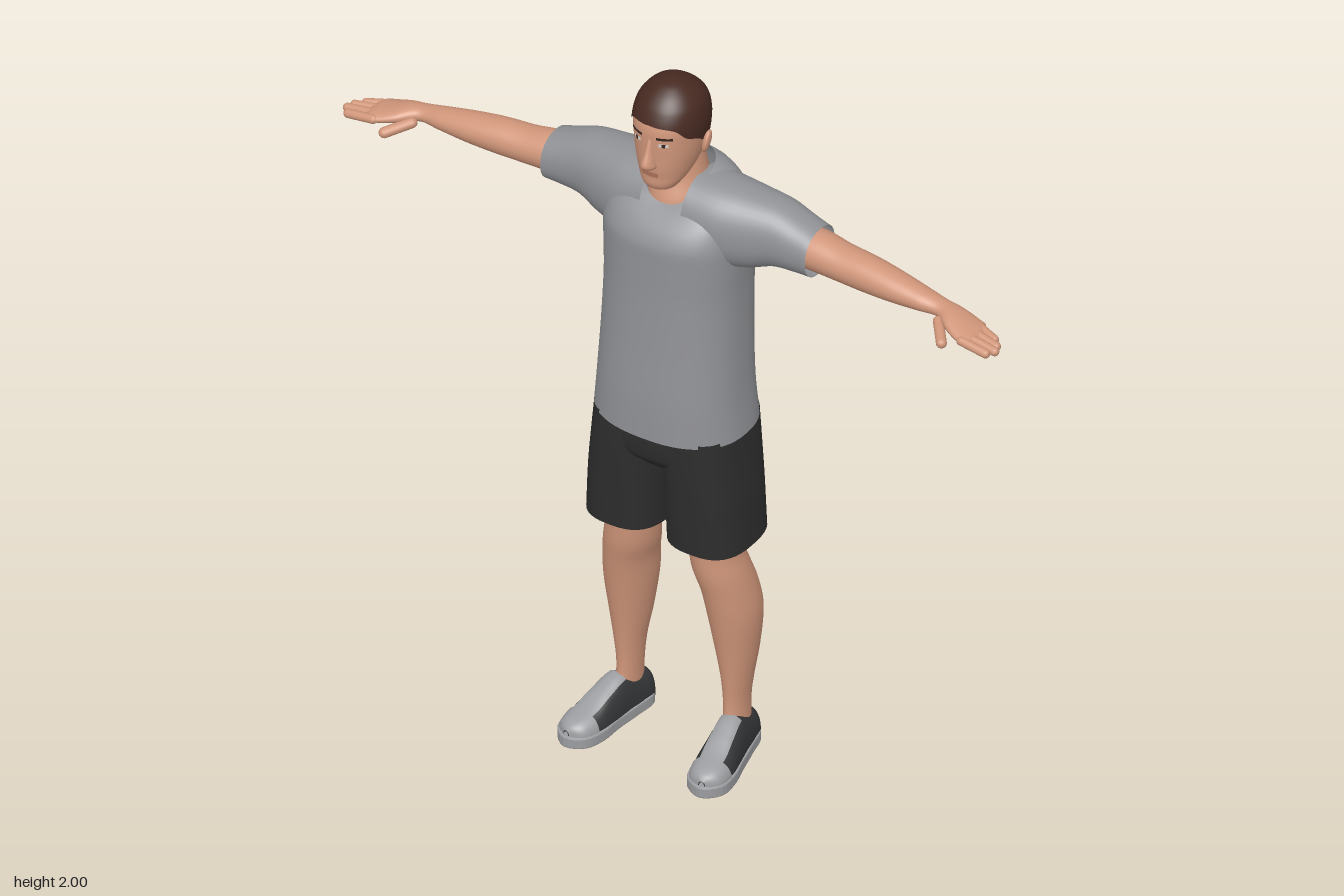
import * as THREE from 'three';

const mat = (name, color, side = THREE.FrontSide) => {
  const m = new THREE.MeshStandardMaterial({ color, side });
  m.name = name;
  return m;
};

// Smooth interpolation of table rows, keyed by their first column
function track(rows) {
  const n = rows.length;
  const slope = (i, c) => {
    const a = rows[Math.max(i - 1, 0)], b = rows[Math.min(i + 1, n - 1)];
    return (b[c] - a[c]) / (b[0] - a[0]);
  };
  return (k) => {
    k = Math.min(Math.max(k, rows[0][0]), rows[n - 1][0]);
    let i = 0;
    while (i < n - 2 && k > rows[i + 1][0]) i++;
    const h = rows[i + 1][0] - rows[i][0], t = (k - rows[i][0]) / h, t2 = t * t, t3 = t2 * t;
    return rows[i].slice(1).map((p, j) =>
      (2 * t3 - 3 * t2 + 1) * p + (t3 - 2 * t2 + t) * h * slope(i, j + 1) +
      (3 * t2 - 2 * t3) * rows[i + 1][j + 1] + (t3 - t2) * h * slope(i + 1, j + 1));
  };
}

// Rounded cross-sections along an axis. Rows: [key, aMin, aMax, bMin, bMax],
// where (a, b) is (y, z) along x, (z, x) along y and (x, y) along z.
function form(axis, rows, power = 2, grow = 0) {
  const at = track(rows);
  const bend = (v) => Math.sign(v) * Math.abs(v) ** (2 / power);
  return (angle, k) => {
    const [a0, a1, b0, b1] = at(k);
    const a = (a0 + a1) / 2 + ((a1 - a0) / 2 + grow) * bend(Math.cos(angle));
    const b = (b0 + b1) / 2 + ((b1 - b0) / 2 + grow) * bend(Math.sin(angle));
    if (axis === 'x') return new THREE.Vector3(k, a, b);
    if (axis === 'y') return new THREE.Vector3(b, k, a);
    return new THREE.Vector3(a, b, k);
  };
}

// Mirror-symmetric rows: [y, zMin, zMax, halfWidth]
const even = (rows) => rows.map(([y, z0, z1, w]) => [y, z0, z1, -w, w]);

// Mesh over part of a form; k0 may depend on the angle
function skinOver(name, material, fn, k0, k1, nk = 24, a0 = 0, a1 = Math.PI * 2, na = 40) {
  const closed = a1 - a0 > 6.28, cols = closed ? na : na + 1;
  const pos = [], index = [];
  for (let j = 0; j <= nk; j++) {
    for (let i = 0; i < cols; i++) {
      const a = a0 + (a1 - a0) * i / na;
      const start = typeof k0 === 'function' ? k0(a) : k0;
      pos.push(...fn(a, start + (k1 - start) * j / nk).toArray());
    }
  }
  for (let j = 0; j < nk; j++) {
    for (let i = 0; i < na; i++) {
      const p = j * cols + i, q = j * cols + (i + 1) % cols;
      index.push(p, q, q + cols, p, q + cols, p + cols);
    }
  }
  const g = new THREE.BufferGeometry();
  g.setAttribute('position', new THREE.Float32BufferAttribute(pos, 3));
  g.setIndex(index);
  g.computeVertexNormals();
  return named(name, g, material);
}

function named(name, geometry, material) {
  const m = new THREE.Mesh(geometry, material);
  m.name = name;
  return m;
}

function rod(name, material, p, q, r) {
  const a = new THREE.Vector3(...p), b = new THREE.Vector3(...q), d = b.clone().sub(a);
  const m = named(name, new THREE.CapsuleGeometry(r, d.length(), 5, 12), material);
  m.position.copy(a).add(b).multiplyScalar(0.5);
  m.quaternion.setFromUnitVectors(new THREE.Vector3(0, 1, 0), d.normalize());
  return m;
}

// Mirrored copy of a left-hand part with its winding kept outward
function mirrored(group) {
  const out = new THREE.Group();
  group.updateMatrixWorld(true);
  group.traverse((o) => {
    if (!o.isMesh) return;
    const g = o.geometry.clone().applyMatrix4(o.matrixWorld).scale(-1, 1, 1);
    if (!g.index) g.setIndex([...Array(g.attributes.position.count).keys()]);
    const ix = g.index.array;
    for (let i = 0; i < ix.length; i += 3) [ix[i + 1], ix[i + 2]] = [ix[i + 2], ix[i + 1]];
    out.add(named(o.name.replace('left', 'right'), g, o.material));
  });
  return out;
}

export function createModel() {
  const D = THREE.DoubleSide;
  const skin = mat('skin', 0xd0967a), shirt = mat('shirt grey', 0x919296, D);
  const shorts = mat('shorts black', 0x2d2d2e, D), hairMat = mat('hair brown', 0x472a21);
  const shoe = mat('shoe black', 0x343536, D), trim = mat('shoe grey', 0x9c9da0, D);
  const white = mat('eye white', 0xd8d4d0), dark = mat('iris and brow', 0x33221c);
  const lip = mat('lip', 0xb4755f);
  const model = new THREE.Group(), left = new THREE.Group();
  model.name = 'man';
  left.name = 'leftSide';

  // Shirt body, with the neckline dipping at the front
  const body = form('y', even([[0.99, -0.182, 0.142, 0.207], [1.1, -0.176, 0.14, 0.197],
    [1.25, -0.178, 0.13, 0.19], [1.4, -0.184, 0.122, 0.187], [1.5, -0.186, 0.12, 0.19],
    [1.56, -0.184, 0.118, 0.19], [1.62, -0.178, 0.105, 0.18], [1.67, -0.167, 0.085, 0.16],
    [1.705, -0.15, 0.065, 0.125], [1.735, -0.12, 0.045, 0.082]]), 2.4);
  const dipped = (a, k) => {
    const p = body(a, k), t = (1 + Math.cos(a)) / 2;
    p.y -= 0.09 * Math.max(0, (k - 1.55) / 0.185) * t * t;
    return p;
  };
  model.add(skinOver('shirtBody', shirt, dipped, 0.99, 1.735, 50, 0, Math.PI * 2, 56));
  left.add(skinOver('leftSleeve', shirt, form('x', [[0.06, 1.5, 1.715, -0.155, 0.06],
    [0.14, 1.48, 1.708, -0.155, 0.055], [0.21, 1.485, 1.698, -0.152, 0.035],
    [0.28, 1.508, 1.685, -0.147, 0.012], [0.34, 1.513, 1.663, -0.14, 0.003],
    [0.387, 1.515, 1.647, -0.136, 0]], 2.2), 0.06, 0.387));

  // Shorts
  model.add(skinOver('shortsSeat', shorts, form('y', even([[0.87, -0.12, 0.08, 0.17],
    [0.91, -0.152, 0.113, 0.2], [1.02, -0.16, 0.118, 0.196]]), 2.5), 0.87, 1.02));
  left.add(skinOver('leftShortsLeg', shorts, form('y', [[0.66, -0.145, 0.106, 0.01, 0.226],
    [0.8, -0.148, 0.112, 0.007, 0.217], [0.9, -0.152, 0.115, 0.004, 0.207],
    [1.0, -0.155, 0.115, 0.002, 0.197]], 2.7), 0.66, 1.0));

  // Legs
  left.add(skinOver('leftLeg', skin, form('y', [[0.07, -0.1, 0, 0.13, 0.185],
    [0.15, -0.1, -0.005, 0.127, 0.185], [0.22, -0.108, 0, 0.12, 0.193],
    [0.3, -0.122, 0.01, 0.105, 0.205], [0.42, -0.13, 0.03, 0.085, 0.217],
    [0.5, -0.118, 0.045, 0.075, 0.21], [0.56, -0.1, 0.058, 0.06, 0.2],
    [0.62, -0.085, 0.063, 0.054, 0.188], [0.72, -0.09, 0.07, 0.045, 0.19],
    [0.85, -0.1, 0.08, 0.04, 0.19]]), 0.07, 0.85, 40));

  // Shoes, turned slightly outward: upper, toe cap, tongue and sole
  const foot = new THREE.Group();
  const upperRows = [[-0.122, 0.012, 0.06], [-0.11, 0.036, 0.088], [-0.06, 0.043, 0.103],
    [-0.01, 0.045, 0.12], [0.05, 0.05, 0.1], [0.1, 0.053, 0.077], [0.15, 0.044, 0.062],
    [0.17, 0.027, 0.052], [0.178, 0.008, 0.042]].map(([z, w, h]) => [z, -w, w, 0.04 - h, h]);
  const upper = (g) => form('z', upperRows, 2.4, g);
  foot.add(skinOver('leftShoeUpper', shoe, upper(0), -0.122, 0.178, 40, 0, Math.PI));
  foot.add(skinOver('leftToeCap', trim, upper(0.003), 0.115, 0.178, 14, 0, Math.PI));
  foot.add(skinOver('leftTongue', trim, upper(0.004), -0.01, 0.118, 14, 1.05, 2.09, 16));
  const outline = new THREE.Shape().setFromPoints(new THREE.CatmullRomCurve3(
    [[0, 0.12], [0.036, 0.1], [0.043, 0.04], [0.049, -0.04], [0.054, -0.1], [0.044, -0.155], [0, -0.184],
      [-0.044, -0.155], [-0.054, -0.1], [-0.047, -0.04], [-0.043, 0.04], [-0.036, 0.1]]
      .map(([x, y]) => new THREE.Vector3(x, y, 0)), true).getPoints(48).slice(0, -1)
    .map((p) => new THREE.Vector2(p.x, p.y)));
  const sole = new THREE.ExtrudeGeometry(outline, { depth: 0.024, bevelSize: 0.004,
    bevelThickness: 0.004, bevelSegments: 2 }).rotateX(-Math.PI / 2).translate(0, 0.004, 0);
  foot.add(named('leftSole', sole, trim));
  foot.rotation.y = 0.17;
  foot.position.x = 0.168;
  left.add(foot);

  // Arm and palm, then fingers and thumb
  left.add(skinOver('leftArm', skin, form('x', [[0.3, 1.53, 1.636, -0.125, -0.012],
    [0.39, 1.53, 1.635, -0.125, -0.012], [0.46, 1.53, 1.626, -0.117, -0.012],
    [0.54, 1.53, 1.622, -0.11, -0.01], [0.62, 1.534, 1.612, -0.1, -0.01],
    [0.7, 1.54, 1.597, -0.088, -0.016], [0.76, 1.543, 1.584, -0.08, -0.022],
    [0.8, 1.538, 1.58, -0.08, 0.008], [0.85, 1.533, 1.567, -0.074, 0.03],
    [0.88, 1.533, 1.56, -0.062, 0.034], [0.895, 1.545, 1.547, -0.02, 0]]), 0.3, 0.895, 56));
  [[-0.052, -0.036, 0.918], [-0.026, -0.014, 0.938], [0, 0.006, 0.946], [0.024, 0.026, 0.932]]
    .forEach(([z0, z1, x], i) =>
      left.add(rod(`leftFinger${i + 1}`, skin, [0.86, 1.549, z0], [x, 1.54, z1], 0.012)));
  left.add(rod('leftThumb', skin, [0.77, 1.552, -0.012], [0.815, 1.538, 0.044], 0.014));

  // Neck and head
  model.add(skinOver('neck', skin, form('y', even([[1.6, -0.13, 0.05, 0.085],
    [1.65, -0.122, 0.04, 0.078], [1.7, -0.112, 0.02, 0.068], [1.75, -0.1, 0.012, 0.063],
    [1.82, -0.09, 0.01, 0.06]])), 1.6, 1.82));
  const headForm = (grow) => form('y', even([[1.705, 0.03, 0.06, 0.01],
    [1.712, 0.01, 0.084, 0.035], [1.73, -0.02, 0.098, 0.051], [1.755, -0.05, 0.1, 0.064],
    [1.785, -0.08, 0.104, 0.074], [1.82, -0.093, 0.105, 0.082], [1.86, -0.1, 0.106, 0.087],
    [1.9, -0.1, 0.104, 0.089], [1.94, -0.09, 0.088, 0.081], [1.965, -0.07, 0.068, 0.064],
    [1.982, -0.045, 0.045, 0.043], [1.991, -0.024, 0.024, 0.024], [1.995, 0, 0, 0]]), 2.15, grow);
  const head = headForm(0);
  model.add(skinOver('head', skin, head, 1.705, 1.995, 48, 0, Math.PI * 2, 48));
  model.add(skinOver('nose', skin, form('y', even([[1.782, 0.08, 0.095, 0.005],
    [1.788, 0.08, 0.117, 0.016], [1.798, 0.08, 0.132, 0.02], [1.81, 0.08, 0.134, 0.017],
    [1.84, 0.08, 0.12, 0.011], [1.875, 0.08, 0.106, 0.009]])), 1.782, 1.875, 18, 0, Math.PI * 2, 20));
  model.add(skinOver('mouth', lip, headForm(0.003), 1.762, 1.776, 3, -0.3, 0.3, 12));

  // Short hair following the skull down to the hairline
  const centre = new THREE.Vector3(0, 1.86, 0);
  const line = track([[0, 1.912], [0.7, 1.905], [1.05, 1.878], [1.4, 1.862], [1.65, 1.84],
    [1.95, 1.8], [2.5, 1.787], [Math.PI, 1.785]]);
  const hairline = (a) => line(a > Math.PI ? Math.PI * 2 - a : a)[0];
  const hair = (a, k) => head(a, k).sub(centre).multiplyScalar(1.037).add(centre);
  model.add(skinOver('hair', hairMat, hair, hairline, 1.995, 36, 0, Math.PI * 2, 64));

  // Eyes, brows and ears
  left.add(skinOver('leftEye', white, headForm(0.002), 1.859, 1.869, 3, 0.27, 0.55, 8));
  left.add(skinOver('leftIris', dark, headForm(0.003), 1.859, 1.869, 3, 0.36, 0.46, 4));
  left.add(skinOver('leftBrow', dark, headForm(0.003), 1.88, 1.887, 3, 0.2, 0.66, 10));
  const ear = named('leftEar', new THREE.SphereGeometry(1, 16, 12), skin);
  ear.scale.set(0.01, 0.032, 0.019);
  ear.position.set(0.093, 1.835, -0.012);
  ear.rotation.set(-0.15, 0.3, -0.15);
  left.add(ear);

  const right = mirrored(left);
  right.name = 'rightSide';
  model.add(left, right);
  return model;
}
